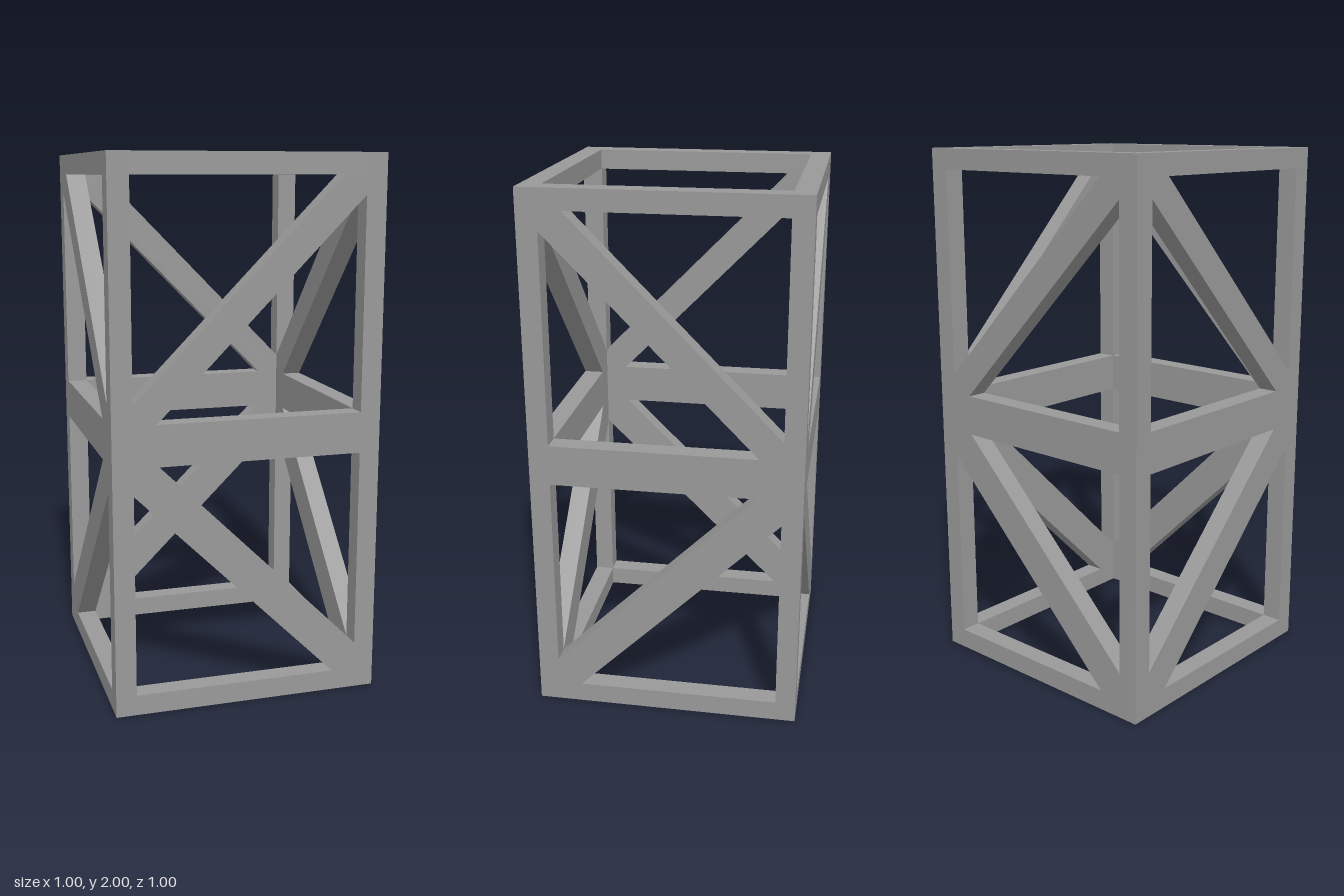
import * as THREE from 'three';

const T = 0.076;          // bar thickness
const W = 0.5 - T;        // half width of each opening

export function createModel() {
  const model = new THREE.Group();
  model.name = 'trussTower';
  const steel = new THREE.MeshStandardMaterial({ color: 0x999999 });
  steel.name = 'grey steel';

  const add = (parent, name, geometry, x, y, z) => {
    const mesh = new THREE.Mesh(geometry, steel);
    mesh.name = name;
    mesh.position.set(x, y, z);
    parent.add(mesh);
  };

  // Diagonal bar filling an opening from corner to corner; dir 1 rises to the right, -1 falls.
  // cutX and cutY are how far it reaches along the rail and the post.
  const brace = (y0, y1, cutX, cutY, dir) => {
    const points = [
      [-W, y0], [-W + cutX, y0], [W, y1 - cutY],
      [W, y1], [W - cutX, y1], [-W, y0 + cutY],
    ].map(([x, y]) => new THREE.Vector2(x * dir, y));
    return new THREE.ExtrudeGeometry(new THREE.Shape(points), { depth: T, bevelEnabled: false });
  };

  // Four sides, with the diagonals flipped on alternate sides
  ['front', 'right', 'back', 'left'].forEach((label, k) => {
    const side = new THREE.Group();
    side.name = label + 'Side';
    side.rotation.y = k * Math.PI / 2;
    const dir = k % 2 ? -1 : 1;
    const mid = 0.5 - T / 2;

    add(side, 'cornerPost', new THREE.BoxGeometry(T, 2, T), -mid, 1, mid);
    add(side, 'bottomRail', new THREE.BoxGeometry(2 * W, T, T), 0, T / 2, mid);
    add(side, 'middleRail', new THREE.BoxGeometry(2 * W, 2 * T, T), 0, 1, mid);
    add(side, 'topRail', new THREE.BoxGeometry(2 * W, T, T), 0, 2 - T / 2, mid);
    add(side, 'lowerBrace', brace(T, 1 - T, 0.09, 0.1, -dir), 0, 0, W);
    add(side, 'upperBrace', brace(1 + T, 2 - T, 0.084, 0.07, dir), 0, 0, W);
    model.add(side);
  });

  return model;
}
